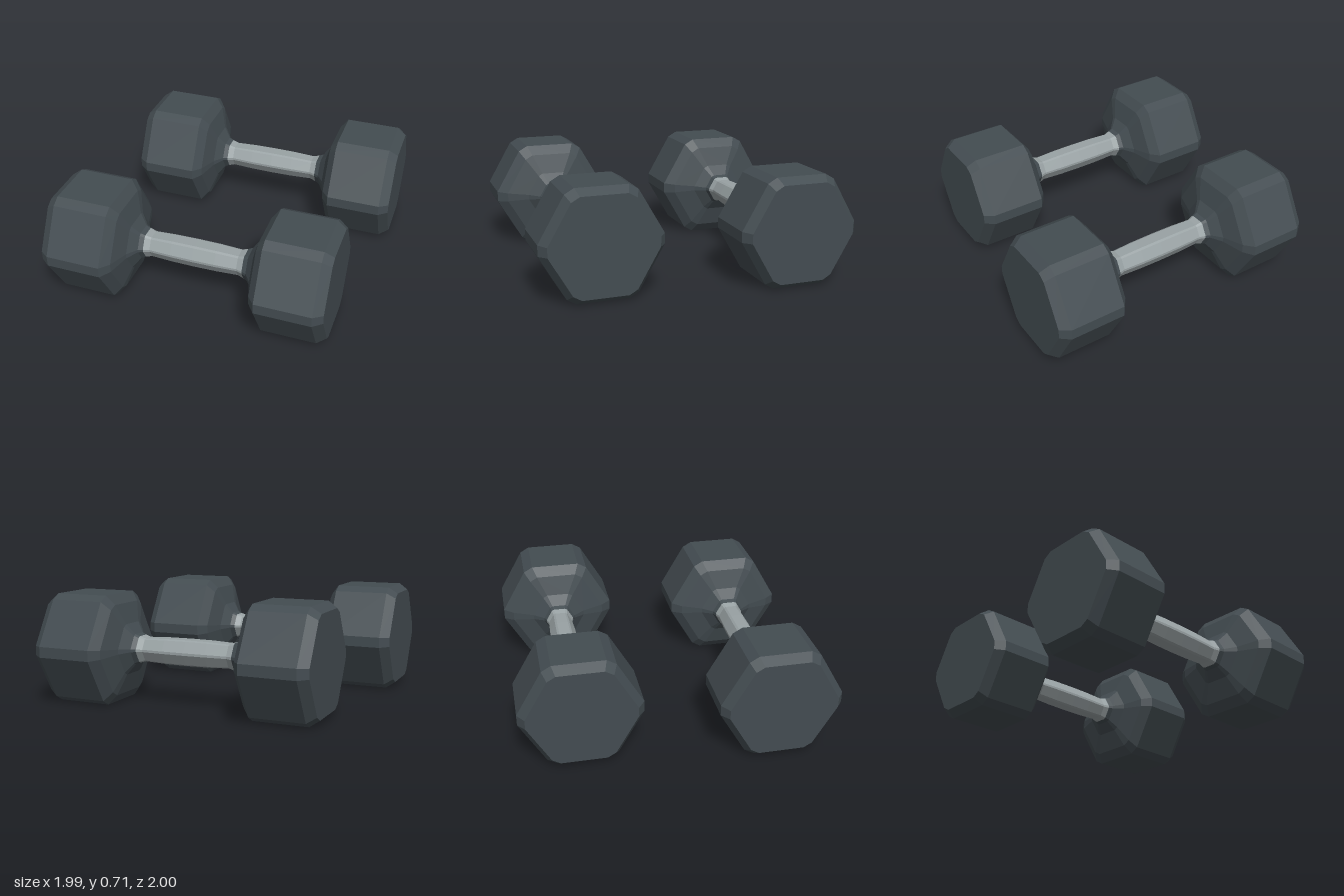
import * as THREE from 'three';

const R = 0.39, APOTHEM = 0.355;

// Hexagon with clipped corners: two points either side of each corner, as angles
const angles = [];
for (let k = 0; k < 6; k++) {
  for (const s of [-1, 1]) angles.push(THREE.MathUtils.degToRad(60 * k + 5.1 * s));
}

// Loft the clipped hexagon along x; profile = [x, scale] with x increasing
function hexLoft(profile) {
  const n = angles.length, pos = [], idx = [];
  for (const [x, s] of profile) {
    for (const a of angles) pos.push(x, R * s * Math.sin(a), R * s * Math.cos(a));
  }
  for (let i = 0; i < profile.length - 1; i++) {
    for (let j = 0; j < n; j++) {
      const a = i * n + j, b = i * n + (j + 1) % n, c = b + n, d = a + n;
      if (profile[i + 1][1] > 0) idx.push(a, d, c);
      if (profile[i][1] > 0) idx.push(a, c, b);
    }
  }
  const g = new THREE.BufferGeometry();
  g.setAttribute('position', new THREE.Float32BufferAttribute(pos, 3));
  g.setIndex(idx);
  const flat = g.toNonIndexed();
  flat.computeVertexNormals();
  return flat;
}

export function createModel() {
  const model = new THREE.Group();
  model.name = 'dumbbellPair';
  const rubber = new THREE.MeshStandardMaterial({ color: 0x434c51, flatShading: true });
  const steel = new THREE.MeshStandardMaterial({ color: 0x99a2a4, flatShading: true });

  // Head: neck flaring into the weight, bevelled rim and closed end face
  const headGeo = hexLoft([
    [0.335, 0.245], [0.365, 0.28], [0.413, 0.465], [0.455, 0.83],
    [0.505, 1], [0.865, 1], [0.925, 0.885], [0.925, 0],
  ]);
  // Grip: slight swelling in the middle, flared at both ends
  const gripGeo = hexLoft([
    [-0.335, 0.245], [-0.295, 0.212], [-0.15, 0.228], [0, 0.232],
    [0.15, 0.228], [0.295, 0.212], [0.335, 0.245],
  ]);

  function dumbbell(name, x, z) {
    const g = new THREE.Group();
    g.name = name;
    const grip = new THREE.Mesh(gripGeo, steel);
    grip.name = 'grip';
    g.add(grip);
    for (const side of ['left', 'right']) {
      const head = new THREE.Mesh(headGeo, rubber);
      head.name = side + 'Head';
      if (side === 'right') head.rotation.y = Math.PI;
      g.add(head);
    }
    g.position.set(x, APOTHEM, z);
    model.add(g);
  }

  // The two dumbbells lie side by side, slightly staggered
  dumbbell('frontDumbbell', -0.072, 0.61);
  dumbbell('backDumbbell', 0.072, -0.61);
  return model;
}
